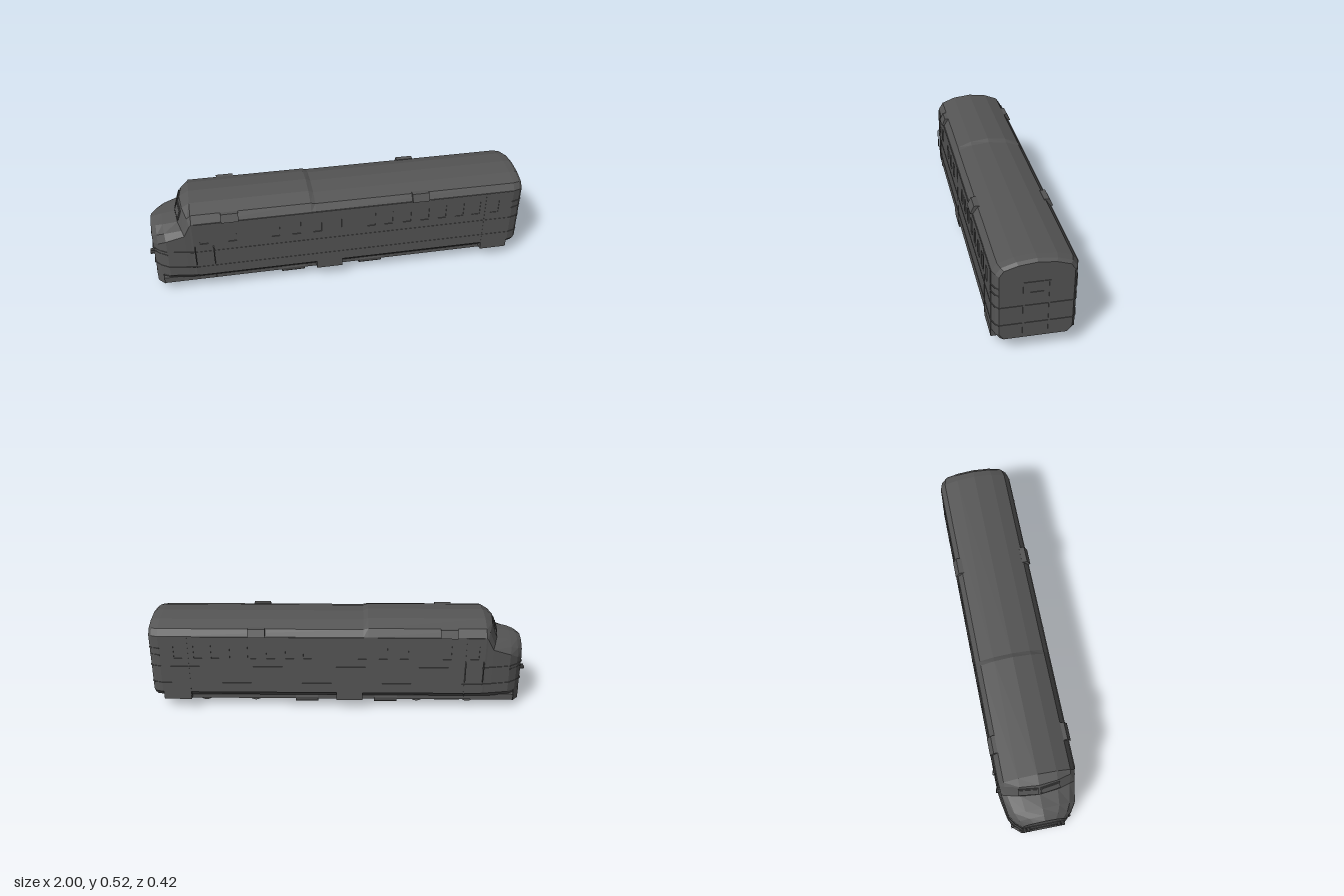
import * as THREE from 'three';

const mat = new THREE.MeshStandardMaterial({ color: 0x555555, flatShading: true });

export function createModel() {
  const root = new THREE.Group();

  const add = (name, geometry, x = 0, y = 0, z = 0) => {
    const m = new THREE.Mesh(geometry, mat);
    m.name = name;
    m.position.set(x, y, z);
    root.add(m);
    return m;
  };
  // box from its limits
  const box = (name, x0, x1, y0, y1, z0, z1) =>
    add(name, new THREE.BoxGeometry(x1 - x0, y1 - y0, z1 - z0),
      (x0 + x1) / 2, (y0 + y1) / 2, (z0 + z1) / 2);

  // Body shell: half sections [z, y] from keel to ridge, mirrored and joined along x
  const section = (w, low, eave, ridge, shoulder) => [
    [0, low], [w * 0.87, low], [w, low + 0.03], [w, eave],
    [w * shoulder, eave + (ridge - eave) * 0.5], [w * 0.5, eave + (ridge - eave) * 0.85], [0, ridge]];
  const stations = [
    // x, half width, bottom, eave, ridge, shoulder, sweep of the outer points
    [-0.98, 0.11, 0.08, 0.29, 0.372, 0.87, 0.005],
    [-0.955, 0.145, 0.08, 0.305, 0.386, 0.84, 0.008],
    [-0.92, 0.172, 0.08, 0.33, 0.393, 0.82, 0.015],
    [-0.85, 0.188, 0.08, 0.365, 0.402, 0.85, 0.04],
    [-0.82, 0.191, 0.08, 0.425, 0.49, 0.87, 0.04],
    [-0.77, 0.193, 0.08, 0.437, 0.517, 0.87, 0],
    [-0.155, 0.193, 0.08, 0.437, 0.517, 0.87, 0],
    [-0.13, 0.193, 0.08, 0.437, 0.505, 0.87, 0],
    [0.945, 0.195, 0.08, 0.437, 0.505, 0.87, 0],
    [0.98, 0.184, 0.08, 0.437, 0.502, 0.87, 0],
    [0.996, 0.17, 0.085, 0.432, 0.491, 0.88, 0]];
  const pos = [], idx = [];
  let n = 0;
  for (const [x, w, low, eave, ridge, shoulder, sweep] of stations) {
    const half = section(w, low, eave, ridge, shoulder);
    const other = half.slice(1, -1).reverse().map(([z, y]) => [-z, y]);
    const ring = [...half, ...other];
    n = ring.length;
    for (const [z, y] of ring) pos.push(x + sweep * (z / 0.19) ** 2, y, z);
  }
  const last = (stations.length - 1) * n;
  for (let i = 0; i < last; i += n)
    for (let j = 0; j < n; j++) {
      const k = (j + 1) % n;
      idx.push(i + j, i + n + j, i + n + k, i + j, i + n + k, i + k);
    }
  for (let j = 1; j < n - 1; j++) {
    idx.push(0, j, j + 1);
    idx.push(last, last + j + 1, last + j);
  }
  const shell = new THREE.BufferGeometry();
  shell.setAttribute('position', new THREE.Float32BufferAttribute(pos, 3));
  shell.setIndex(idx);
  const flat = shell.toNonIndexed();
  flat.computeVertexNormals();
  add('bodyShell', flat);

  // Side walls with window openings over the shell
  const rect = (shape, x0, x1, y0, y1) => {
    shape.moveTo(x0, y0);
    shape.lineTo(x1, y0);
    shape.lineTo(x1, y1);
    shape.lineTo(x0, y1);
    shape.closePath();
    return shape;
  };
  const wall = rect(new THREE.Shape(), -0.76, 0.94, 0.11, 0.436);
  const windows = [-0.715, -0.57, -0.345, -0.235, -0.125, 0.163, 0.257, 0.357, 0.455, 0.55, 0.648, 0.74, 0.845];
  for (const x of windows)
    wall.holes.push(rect(new THREE.Path(), x - 0.022, x + 0.022, 0.312, 0.39));
  const wallGeo = new THREE.ExtrudeGeometry(wall, { depth: 0.006, bevelEnabled: false });
  add('leftWall', wallGeo, 0, 0, 0.192);
  add('rightWall', wallGeo, 0, 0, -0.198);

  // Narrow strips around the plan of the body: height, first and last plan point
  const plan = [[-0.981, 0], [-0.98, 0.11], [-0.948, 0.145], [-0.908, 0.172], [-0.81, 0.19],
    [-0.76, 0.197], [0.942, 0.197], [0.98, 0.184], [0.996, 0.17], [0.996, 0]];
  const strips = [['beltStrip', 0.165, 0, 9], ['beltStrip', 0.263, 0, 9],
    ['noseRail', 0.245, 1, 3], ['cornerRung', 0.329, 6, 8], ['cornerRung', 0.367, 6, 8]];
  for (const [name, y, first, end] of strips)
    for (const s of [1, -1])
      for (let i = first; i < end; i++) {
        const [x0, z0] = plan[i], [x1, z1] = plan[i + 1];
        const strip = add(name, new THREE.BoxGeometry(Math.hypot(x1 - x0, z1 - z0), 0.005, 0.006),
          (x0 + x1) / 2, y, s * (z0 + z1) / 2);
        strip.rotation.y = -Math.atan2(s * (z1 - z0), x1 - x0);
      }

  // Roof-edge vents
  const ventShape = new THREE.Shape([[-0.16, 0.437], [-0.207, 0.437], [-0.188, 0.477], [-0.16, 0.477]]
    .map(p => new THREE.Vector2(...p)));
  const ventGeo = new THREE.ExtrudeGeometry(ventShape, { depth: 0.09, bevelEnabled: false });
  ventGeo.rotateY(Math.PI / 2);
  const rightVentGeo = ventGeo.clone().rotateY(Math.PI);
  for (const x of [-0.62, 0.383]) {
    add('leftRoofVent', ventGeo, x);
    add('rightRoofVent', rightVentGeo, x + 0.09);
  }

  for (const s of [1, -1]) {
    // Panel joints
    for (const x of [-0.67, 0.005, 0.793])
      box('wallJoint', x - 0.002, x + 0.002, 0.09, 0.437, s * 0.198 - 0.0015, s * 0.198 + 0.0015);
    // Grab rails beside the cab door
    for (const x of [-0.765, -0.67]) {
      const rail = new THREE.CatmullRomCurve3([[0.19, 0.18], [0.204, 0.18], [0.205, 0.19],
        [0.205, 0.285], [0.204, 0.295], [0.19, 0.295]].map(([z, y]) => new THREE.Vector3(x, y, s * z)), false, 'catmullrom', 0.1);
      add('grabRail', new THREE.TubeGeometry(rail, 16, 0.003, 5));
    }
    // Windshield pane in a shallow frame
    for (const [w, h, t] of [[0.1, 0.06, 0.004], [0.086, 0.046, 0.008]]) {
      const pane = add('windshieldPane', new THREE.BoxGeometry(t, h, w), -0.833, 0.44, s * 0.056);
      pane.rotation.set(0, s * 0.13, -0.33, 'YXZ');
    }
    // Nose lamps
    for (const z of [0.08, 0.1]) {
      const lamp = add('noseLamp', new THREE.CylinderGeometry(0.009, 0.009, 0.025, 10), -0.986, 0.222, s * z);
      lamp.rotation.z = Math.PI / 2;
    }
    // Underfloor tanks, lengthwise
    for (const x of [-0.255, 0.172]) {
      const tank = add('tank', new THREE.CylinderGeometry(0.038, 0.038, 0.122, 14), x, 0.062, s * 0.127);
      tank.rotation.z = Math.PI / 2;
    }
    // Wheels
    for (const x of [-0.71, -0.43, 0.46, 0.735]) {
      const wheel = add('wheel', new THREE.CylinderGeometry(0.042, 0.042, 0.013, 24), x, 0.042, s * 0.081);
      wheel.rotation.x = Math.PI / 2;
    }
  }

  // Rear door frame and window
  for (const s of [1, -1]) box('rearDoorPost', 0.99, 0.999, 0.11, 0.39, s * 0.059 - 0.004, s * 0.059 + 0.004);
  box('rearDoorLintel', 0.99, 0.999, 0.382, 0.39, -0.063, 0.063);
  box('rearDoorWindow', 0.99, 0.9995, 0.302, 0.335, -0.03, 0.03);

  // Skirts and underframe
  box('middleSkirt', -0.13, 0.01, 0.065, 0.115, -0.197, 0.197);
  box('rearSkirt', 0.793, 0.94, 0.065, 0.115, -0.197, 0.197);
  box('underframe', -0.945, 0.84, 0.052, 0.085, -0.16, 0.16);
  box('frontTruckFrame', -0.66, -0.365, 0.03, 0.06, -0.125, 0.125);
  box('rearTruckFrame', 0.24, 0.535, 0.033, 0.06, -0.125, 0.125);

  // Pilot under the nose
  const pilot = new THREE.Shape([[-0.98, -0.11], [-0.945, -0.15], [-0.945, 0.15], [-0.98, 0.11]]
    .map(p => new THREE.Vector2(...p)));
  const pilotGeo = new THREE.ExtrudeGeometry(pilot, { depth: 0.07, bevelEnabled: false });
  pilotGeo.rotateX(-Math.PI / 2);
  add('pilot', pilotGeo, 0, 0.04, 0);

  return root;
}
